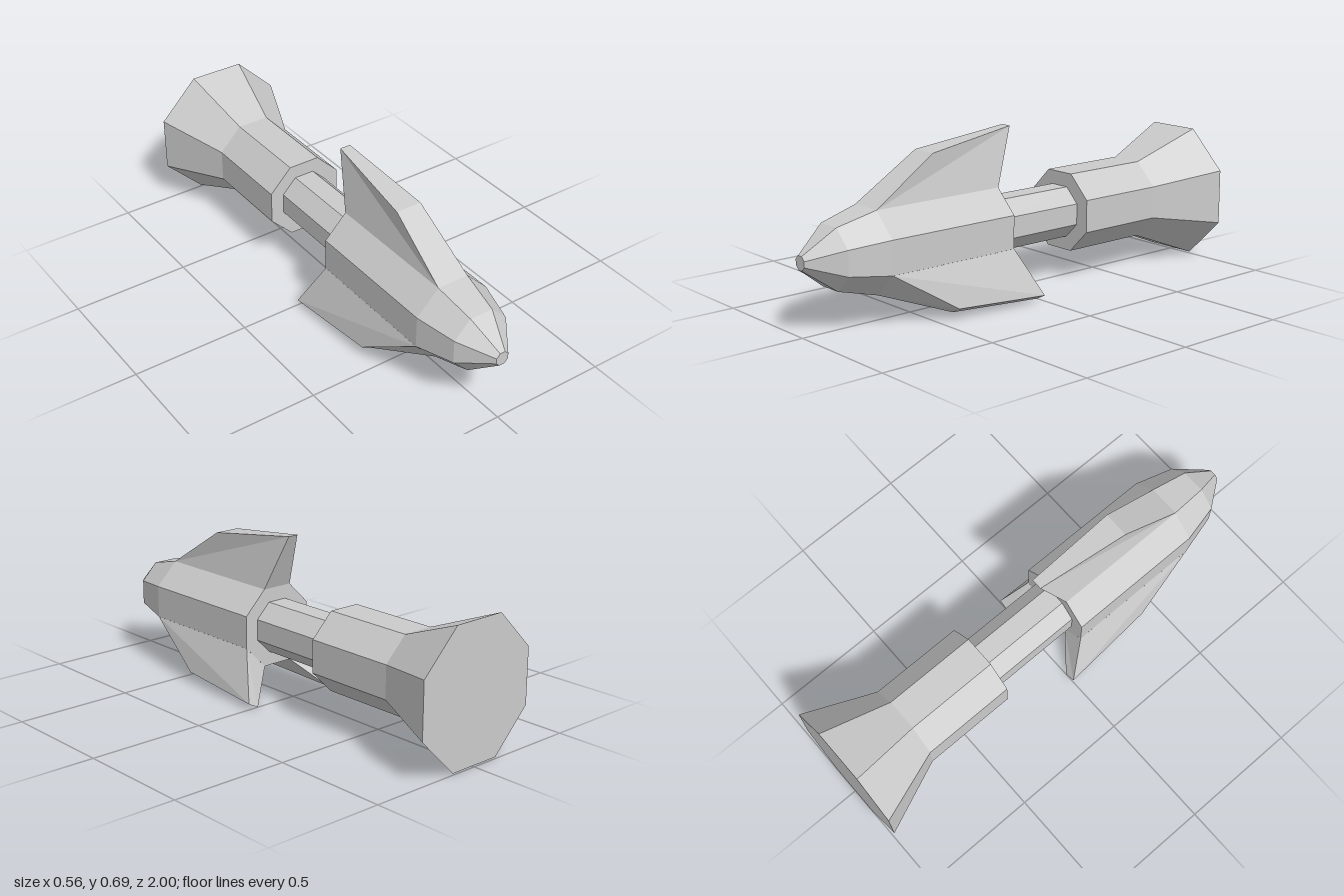
import * as THREE from 'three';

const AXIS_Y = 0.292;
const grey = new THREE.MeshStandardMaterial({ color: 0xcccccc, flatShading: true });

// Eight-sided closed body along z; profile is [apothem, z] from back to front
function octagonBody(name, profile) {
  const points = profile.map(([a, z]) => new THREE.Vector2(a / Math.cos(Math.PI / 8), z));
  points.unshift(new THREE.Vector2(0, profile[0][1]));
  points.push(new THREE.Vector2(0, profile[profile.length - 1][1]));
  const geometry = new THREE.LatheGeometry(points, 8, Math.PI / 8);
  geometry.rotateX(Math.PI / 2);
  const mesh = new THREE.Mesh(geometry, grey);
  mesh.name = name;
  mesh.position.y = AXIS_Y;
  return mesh;
}

// Tapered fin between two side outlines: root front, tip front, tip back, root back
function fin(name, sideA, sideB) {
  const index = [0, 2, 1, 0, 3, 2, 4, 5, 6, 4, 6, 7];
  for (let i = 0; i < 4; i++) {
    const j = (i + 1) % 4;
    index.push(i, j, j + 4, i, j + 4, i + 4);
  }
  const indexed = new THREE.BufferGeometry();
  indexed.setAttribute('position', new THREE.Float32BufferAttribute([...sideA, ...sideB].flat(), 3));
  indexed.setIndex(index);
  const geometry = indexed.toNonIndexed();
  geometry.computeVertexNormals();
  const mesh = new THREE.Mesh(geometry, grey);
  mesh.name = name;
  return mesh;
}

const mirror = (side) => side.map(([x, y, z]) => [-x, y, z]);

export function createModel() {
  const model = new THREE.Group();
  model.name = 'finnedRocket';

  // Nose and main body
  model.add(octagonBody('noseBody', [[0.166, 0.1], [0.166, 0.7], [0.123, 0.87], [0.028, 1]]));
  // Narrow neck joining the two halves
  model.add(octagonBody('neck', [[0.107, -0.31], [0.107, 0.11]]));
  // Rear body with flared end
  model.add(octagonBody('flaredTail', [[0.2825, -1], [0.166, -0.7], [0.166, -0.3]]));

  // Top fin
  const top = [[0.069, 0.458, 0.7], [0.056, 0.637, 0.42], [0.023, 0.692, 0], [0.069, 0.458, 0.1]];
  model.add(fin('topFin', top, mirror(top)));

  // Lower fins, mirrored
  const lower = [[0.069, 0.126, 0.7], [0.17, 0.026, 0.42], [0.193, 0.003, 0], [0.069, 0.126, 0.1]];
  const upper = [[0.166, 0.223, 0.7], [0.213, 0.049, 0.42], [0.24, 0.027, 0], [0.166, 0.223, 0.1]];
  model.add(fin('leftFin', lower, upper));
  model.add(fin('rightFin', mirror(upper), mirror(lower)));

  return model;
}
